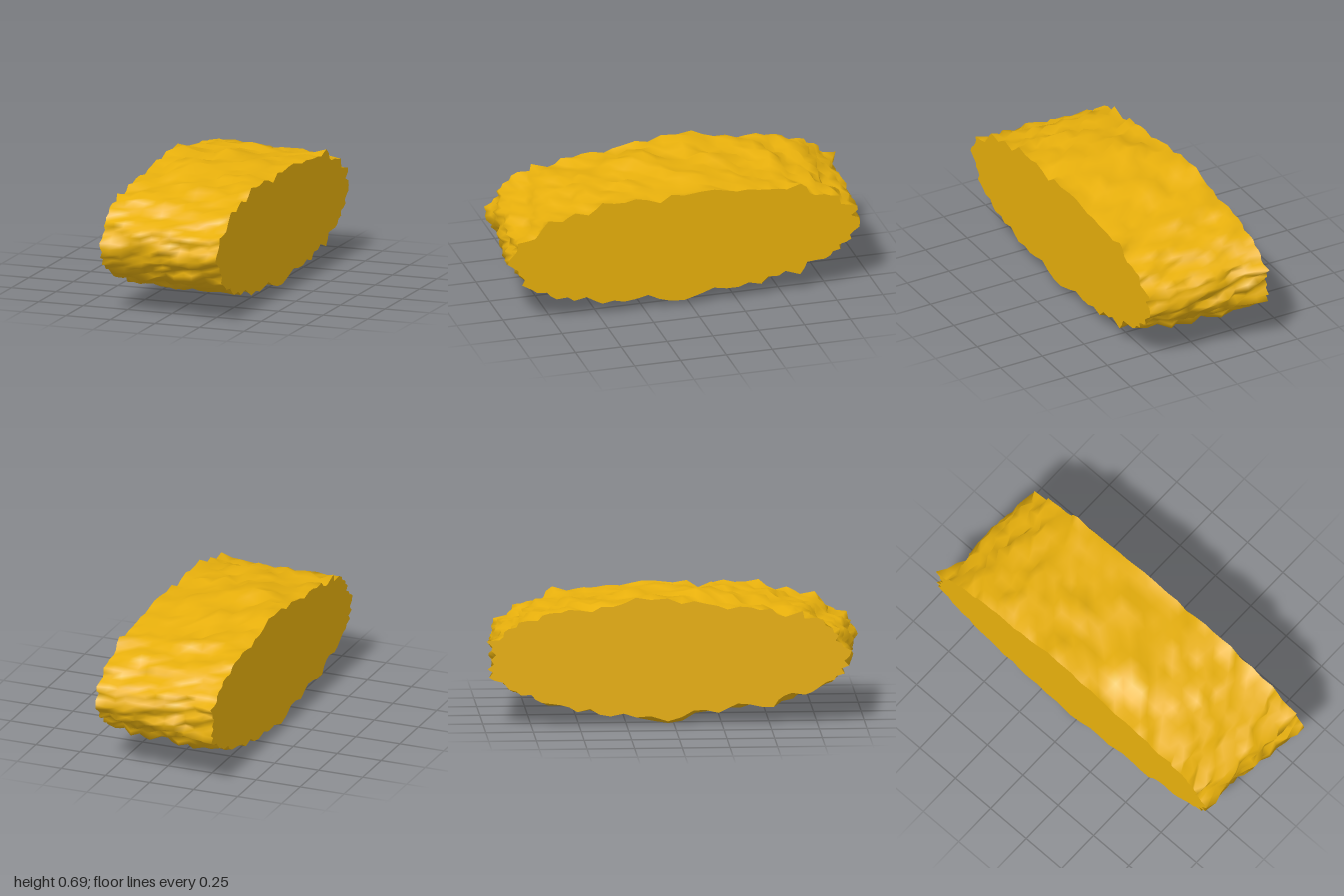
import * as THREE from 'three';

const AROUND = 96, ALONG = 12, HALF_WIDTH = 0.34;

// repeatable value in -1..1 for a lattice point
function hash(i, j) {
  const s = Math.sin(i * 127.1 + j * 311.7 + 4.7) * 43758.5453;
  return 2 * (s - Math.floor(s)) - 1;
}

// smooth lattice noise, periodic in v
function noise(u, v, period) {
  const i = Math.floor(u), j = Math.floor(v);
  const ease = (t) => t * t * (3 - 2 * t);
  const fu = ease(u - i), fv = ease(v - j);
  const h = (a, b) => hash(a, b % period);
  return THREE.MathUtils.lerp(
    THREE.MathUtils.lerp(h(i, j), h(i + 1, j), fu),
    THREE.MathUtils.lerp(h(i, j + 1), h(i + 1, j + 1), fu), fv);
}

// point on the rough, slightly slanted oval
function surfacePoint(i, j) {
  j %= AROUND;
  const x = HALF_WIDTH * (2 * i / ALONG - 1);
  const a = j / AROUND * Math.PI * 2;
  const c = Math.cos(a), s = Math.sin(a);
  const blunt = (v, p) => Math.sign(v) * Math.abs(v) ** p;
  const rough = 0.022 * noise(i / 3, j / 2, AROUND / 2) + 0.021 * hash(i + 50, j);
  // the highest bumps on the top and the lowest one below
  const bump = (bx, ba, size) =>
    size * Math.exp(-(((x - bx) / 0.09) ** 2) - ((a - ba) / 0.08) ** 2);
  const lift = bump(-0.13, 1.4, 0.045) + bump(0.16, 1.62, 0.022)
    + bump(-0.28, 1.6, 0.03) + bump(-0.25, 4.71, 0.07);
  const y = 0.357 + blunt(s, 0.88) * 0.29 + s * (rough + lift);
  const z = 0.1 * x + blunt(c, c < 0 ? 0.86 : 0.94) * 0.935 + c * rough * 1.2;
  return [x, THREE.MathUtils.clamp(y, 0, 0.708), THREE.MathUtils.clamp(z, -1, 1)];
}

function meshOf(name, positions, indices, material) {
  const geometry = new THREE.BufferGeometry();
  geometry.setAttribute('position', new THREE.Float32BufferAttribute(positions, 3));
  geometry.setIndex(indices);
  geometry.computeVertexNormals();
  const mesh = new THREE.Mesh(geometry, material);
  mesh.name = name;
  return mesh;
}

// rugged band around the oval
function roughBand(material) {
  const positions = [], indices = [];
  for (let i = 0; i <= ALONG; i++)
    for (let j = 0; j < AROUND; j++) positions.push(...surfacePoint(i, j));
  for (let i = 0; i < ALONG; i++) {
    for (let j = 0; j < AROUND; j++) {
      const k = (j + 1) % AROUND;
      const a = i * AROUND + j, b = a + AROUND;
      const d = i * AROUND + k, e = d + AROUND;
      indices.push(a, b, e, a, e, d);
    }
  }
  return meshOf('roughBand', positions, indices, material);
}

// flat cut face closing one end
function cutFace(name, i, material) {
  const positions = [HALF_WIDTH * (2 * i / ALONG - 1), 0.357, 0], indices = [];
  for (let j = 0; j < AROUND; j++) {
    positions.push(...surfacePoint(i, j));
    const a = j + 1, b = (j + 1) % AROUND + 1;
    indices.push(0, ...(i === 0 ? [a, b] : [b, a]));
  }
  return meshOf(name, positions, indices, material);
}

export function createModel() {
  const group = new THREE.Group();
  group.name = 'roughSlice';
  const gold = new THREE.MeshStandardMaterial({ color: 0xe8b00c });
  group.add(
    roughBand(gold),
    cutFace('leftCutFace', ALONG, gold),
    cutFace('rightCutFace', 0, gold),
  );
  return group;
}
